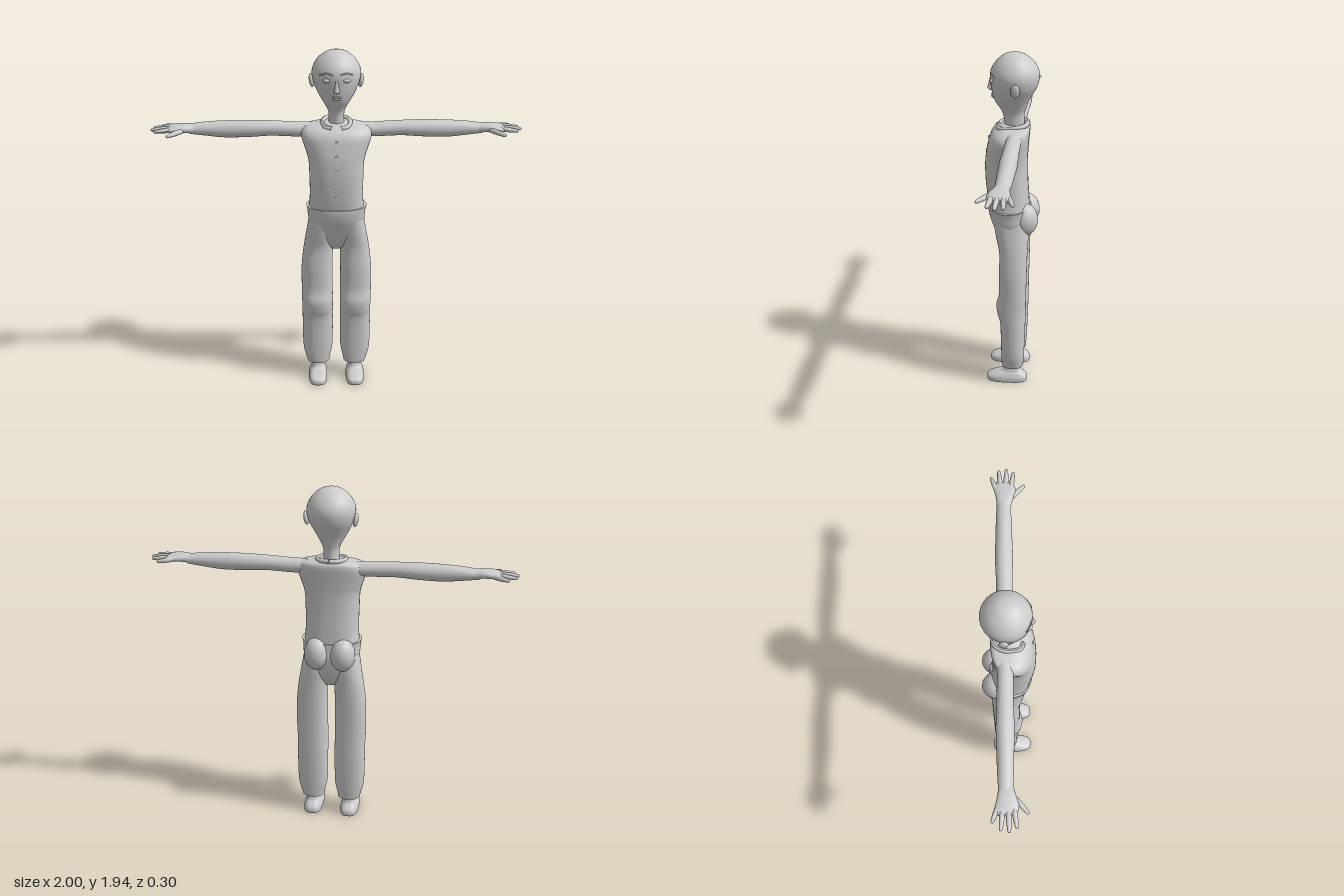
import * as THREE from 'three';

const material = new THREE.MeshStandardMaterial({ color: 0xcccccc, side: THREE.DoubleSide });

// Catmull-Rom blend of one column of the section table
function blend(rows, k, s) {
  const i = Math.min(Math.floor(s), rows.length - 2), t = s - i;
  const at = (n) => rows[Math.max(0, Math.min(rows.length - 1, n))][k];
  const [a, b, c, d] = [at(i - 1), at(i), at(i + 1), at(i + 2)];
  return b + 0.5 * t * (c - a + t * (2 * a - 5 * b + 4 * c - d + t * (3 * (b - c) + d - a)));
}

// Smooth body along y through sections [y, centreX, halfWidth, zFront, zBack]
function loft(rows, power = 2, sides = 40, steps = 5) {
  const pos = [], index = [], n = (rows.length - 1) * steps;
  const addRing = (s) => {
    const [y, cx, rx, zf, zb] = [0, 1, 2, 3, 4].map((k) => blend(rows, k, s));
    const cz = (zf + zb) / 2, rz = (zf - zb) / 2;
    for (let j = 0; j < sides; j++) {
      const t = (j / sides) * Math.PI * 2, c = Math.cos(t), d = Math.sin(t);
      const round = (v) => Math.sign(v) * Math.pow(Math.abs(v), 2 / power);
      pos.push(cx + rx * round(c), y, cz + rz * round(d));
    }
    return [cx, y, cz];
  };
  for (let i = 0; i <= n; i++) addRing(i / steps);
  for (let i = 0; i < n; i++) {
    for (let j = 0; j < sides; j++) {
      const a = i * sides + j, b = i * sides + ((j + 1) % sides);
      index.push(a, a + sides, b, b, a + sides, b + sides);
    }
  }
  // Flat end caps with their own vertices
  for (const end of [0, 1]) {
    const start = pos.length / 3;
    const centre = addRing(end * (rows.length - 1));
    pos.push(...centre);
    for (let j = 0; j < sides; j++) {
      const a = start + j, b = start + ((j + 1) % sides), m = start + sides;
      if (end) index.push(m, b, a);
      else index.push(m, a, b);
    }
  }
  const g = new THREE.BufferGeometry();
  g.setAttribute('position', new THREE.Float32BufferAttribute(pos, 3));
  g.setIndex(index);
  g.computeVertexNormals();
  return g;
}

function ellipsoid(x, y, z, rx, ry, rz) {
  return new THREE.SphereGeometry(1, 24, 16).scale(rx, ry, rz).translate(x, y, z);
}

// Tapered, round-tipped finger between two points
function finger(from, to, r0, r1) {
  const a = new THREE.Vector3(...from), dir = new THREE.Vector3(...to).sub(a);
  const len = dir.length();
  const profile = [[0, 0], [r0, 0], [r0 * 0.95, len * 0.5], [r1, len - r1], [r1 * 0.7, len - r1 * 0.3], [0, len]];
  const g = new THREE.LatheGeometry(profile.map((p) => new THREE.Vector2(...p)), 12);
  g.applyQuaternion(new THREE.Quaternion().setFromUnitVectors(new THREE.Vector3(0, 1, 0), dir.normalize()));
  return g.translate(a.x, a.y, a.z);
}

function tube(points, r) {
  const curve = new THREE.CatmullRomCurve3(points.map((p) => new THREE.Vector3(...p)));
  return new THREE.TubeGeometry(curve, 24, r, 8);
}

// Mirror a geometry in x = 0, keeping faces outward
function mirrored(geometry) {
  const g = geometry.clone().scale(-1, 1, 1), ix = g.index.array;
  for (let i = 0; i < ix.length; i += 3) [ix[i], ix[i + 1]] = [ix[i + 1], ix[i]];
  g.computeVertexNormals();
  return g;
}

export function createModel() {
  const group = new THREE.Group();
  const add = (name, geometry) => {
    const mesh = new THREE.Mesh(geometry, material);
    mesh.name = name;
    group.add(mesh);
  };
  const pair = (name, geometry) => {
    add('left' + name, geometry);
    add('right' + name, mirrored(geometry));
  };

  // Head and neck
  add('head', loft([
    [1.52, 0, 0.043, 0.04, -0.065], [1.6, 0, 0.043, 0.05, -0.065], [1.64, 0, 0.058, 0.07, -0.075],
    [1.67, 0, 0.075, 0.09, -0.085], [1.71, 0, 0.097, 0.105, -0.105], [1.76, 0, 0.12, 0.113, -0.132],
    [1.81, 0, 0.131, 0.118, -0.143], [1.85, 0, 0.125, 0.112, -0.137], [1.89, 0, 0.102, 0.088, -0.113],
    [1.92, 0, 0.068, 0.056, -0.078], [1.934, 0, 0.038, 0.027, -0.048], [1.94, 0, 0.002, -0.008, -0.012],
  ]));

  // Face
  add('nose', loft([
    [1.73, 0, 0.008, 0.112, 0.09], [1.742, 0, 0.017, 0.132, 0.09], [1.76, 0, 0.012, 0.13, 0.09],
    [1.8, 0, 0.008, 0.12, 0.09],
  ], 2, 16));
  add('upperLip', ellipsoid(0, 1.709, 0.102, 0.025, 0.006, 0.012));
  add('lowerLip', ellipsoid(0, 1.697, 0.098, 0.021, 0.007, 0.013));
  pair('Eye', ellipsoid(0.05, 1.8, 0.102, 0.022, 0.012, 0.014));
  pair('Brow', tube([[0.018, 1.832, 0.113], [0.05, 1.838, 0.105], [0.088, 1.826, 0.084]], 0.004));
  pair('Ear', ellipsoid(0, 0, 0, 0.014, 0.038, 0.025).rotateZ(-0.15).translate(0.132, 1.77, -0.025));

  // Shirt
  add('shirt', loft([
    [1.07, 0, 0.152, 0.123, -0.094], [1.14, 0, 0.146, 0.135, -0.09], [1.25, 0, 0.147, 0.146, -0.084],
    [1.35, 0, 0.152, 0.145, -0.083], [1.42, 0, 0.172, 0.136, -0.087], [1.48, 0, 0.19, 0.122, -0.092],
    [1.515, 0, 0.182, 0.1, -0.094], [1.535, 0, 0.15, 0.068, -0.088], [1.548, 0, 0.06, 0.04, -0.07],
  ], 2.5));
  for (let i = 0; i < 5; i++) {
    const y = 1.16 + i * 0.077;
    const z = [0.137, 0.144, 0.147, 0.14, 0.127][i];
    add('button', new THREE.CylinderGeometry(0.008, 0.008, 0.008, 16).rotateX(Math.PI / 2).translate(0, y, z));
  }
  pair('Collar', tube([
    [0, 1.552, -0.083], [0.045, 1.552, -0.072], [0.072, 1.547, -0.03], [0.074, 1.54, 0.02],
    [0.06, 1.535, 0.06], [0.025, 1.53, 0.075],
  ], 0.013));

  // Trousers
  add('trouserSeat', loft([
    [0.82, 0, 0.055, 0.035, -0.055], [0.87, 0, 0.1, 0.065, -0.085], [0.93, 0, 0.14, 0.09, -0.1],
    [1.0, 0, 0.156, 0.118, -0.108], [1.05, 0, 0.16, 0.13, -0.104], [1.08, 0, 0.166, 0.132, -0.101],
  ], 2.3));
  pair('Buttock', ellipsoid(0.072, 1.015, -0.07, 0.07, 0.095, 0.076));
  pair('TrouserLeg', loft([
    [0.1, 0.104, 0.063, 0.05, -0.07], [0.13, 0.106, 0.07, 0.053, -0.073], [0.2, 0.107, 0.084, 0.055, -0.077],
    [0.38, 0.107, 0.087, 0.06, -0.083], [0.44, 0.107, 0.087, 0.074, -0.084], [0.5, 0.108, 0.088, 0.081, -0.085],
    [0.57, 0.109, 0.088, 0.066, -0.086], [0.7, 0.109, 0.087, 0.066, -0.089], [0.82, 0.101, 0.082, 0.064, -0.092],
    [0.92, 0.09, 0.076, 0.083, -0.096], [1.02, 0.08, 0.07, 0.1, -0.09],
  ], 2.3));

  // Shoes with ankles
  pair('Foot', loft([
    [0, 0.107, 0.051, 0.134, -0.09], [0.012, 0.107, 0.053, 0.138, -0.094], [0.032, 0.107, 0.051, 0.132, -0.09],
    [0.05, 0.107, 0.043, 0.09, -0.073], [0.064, 0.107, 0.034, 0.05, -0.054], [0.09, 0.107, 0.029, 0.034, -0.045],
    [0.14, 0.107, 0.032, 0.034, -0.047],
  ], 3));

  // Arms and hands, lofted upright then laid along x
  const lay = (g) => g.rotateZ(-Math.PI / 2).translate(0, 1.505, 0);
  pair('Arm', lay(loft([
    [0.13, 0, 0.036, 0.025, -0.062], [0.2, 0.004, 0.04, 0.024, -0.06], [0.35, -0.002, 0.041, 0.024, -0.063],
    [0.47, 0, 0.046, 0.027, -0.067], [0.6, 0.002, 0.046, 0.024, -0.064], [0.7, 0, 0.038, 0.021, -0.061],
    [0.79, 0, 0.027, 0.018, -0.056],
  ])));
  pair('Palm', lay(loft([
    [0.76, 0, 0.024, 0.017, -0.055], [0.81, -0.005, 0.023, 0.03, -0.06], [0.86, -0.005, 0.019, 0.045, -0.07],
    [0.895, -0.002, 0.015, 0.04, -0.073], [0.915, 0, 0.009, 0.028, -0.064],
  ], 2.3)));
  const tips = [
    [[0.87, 1.508, -0.058], [0.95, 1.5, -0.088]],
    [[0.88, 1.51, -0.036], [0.99, 1.502, -0.045]],
    [[0.88, 1.51, -0.008], [1.0, 1.503, -0.003]],
    [[0.88, 1.51, 0.02], [0.98, 1.502, 0.035]],
    [[0.83, 1.505, 0.028], [0.905, 1.493, 0.094]],
  ];
  for (const [from, to] of tips) pair('Finger', finger(from, to, 0.014, 0.009));

  return group;
}
